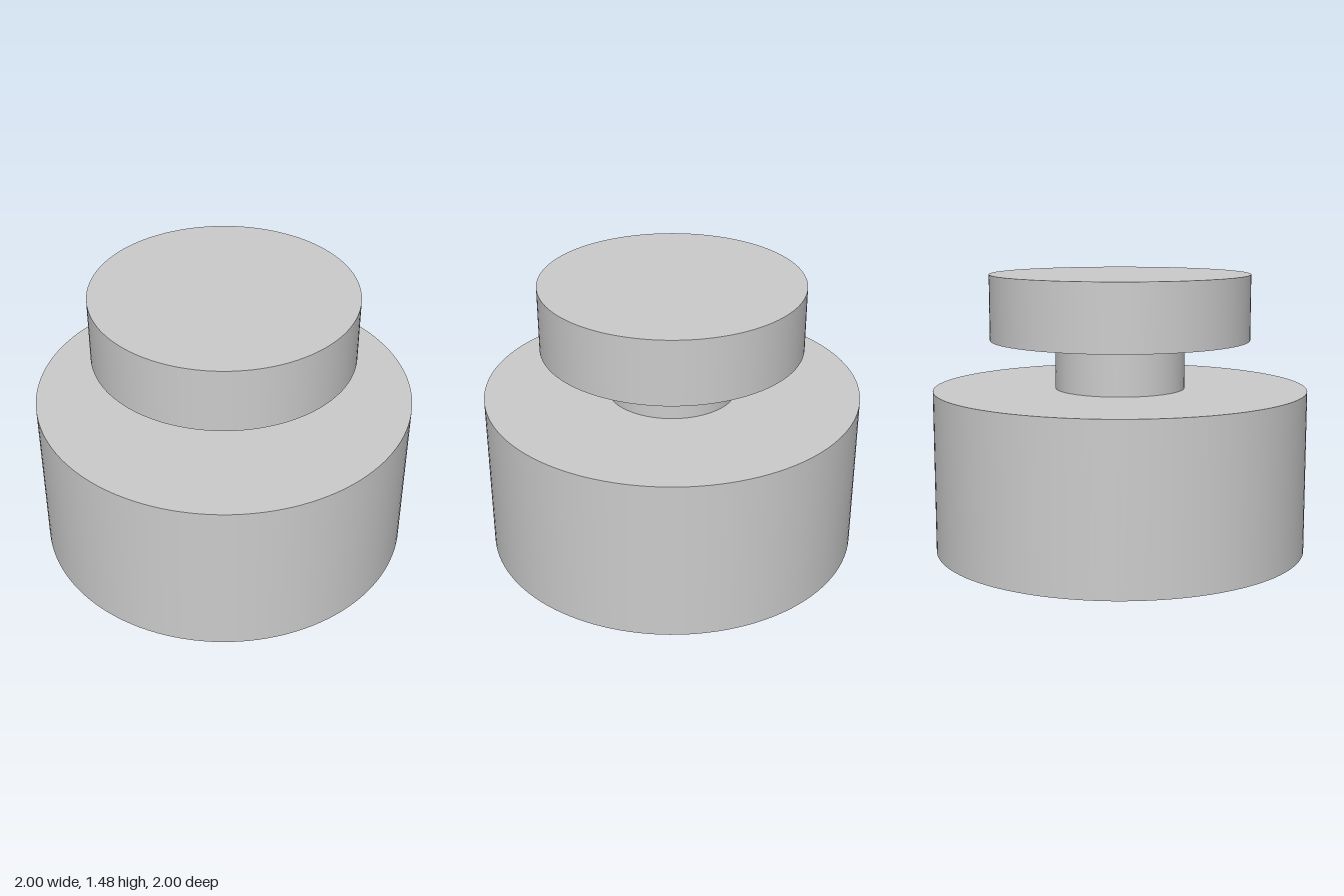
import * as THREE from 'three';

export function createModel() {
  const group = new THREE.Group();
  const material = new THREE.MeshStandardMaterial({ color: 0xcccccc });

  // Upright disc of the given radius between two heights
  function addDisc(name, radius, bottom, top) {
    const geometry = new THREE.CylinderGeometry(radius, radius, top - bottom, 128);
    const mesh = new THREE.Mesh(geometry, material);
    mesh.name = name;
    mesh.position.y = (bottom + top) / 2;
    group.add(mesh);
  }

  addDisc('base', 1, 0, 0.872); // wide drum
  addDisc('neck', 0.347, 0.872, 1.134); // narrow stem
  addDisc('cap', 0.695, 1.134, 1.483); // flat head

  return group;
}
